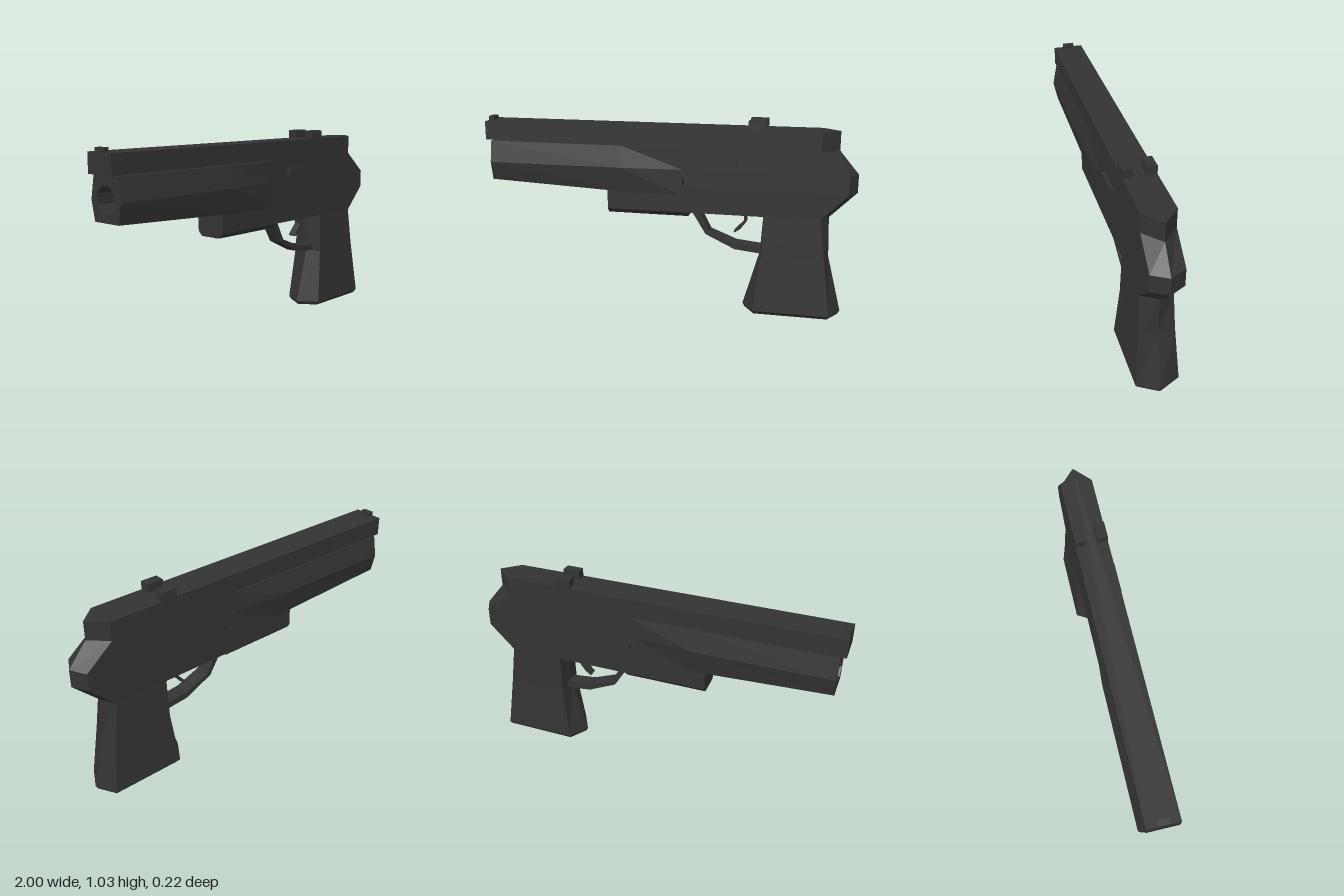
import * as THREE from 'three';

const dark = new THREE.MeshStandardMaterial({ color: 0x333333, flatShading: true });
const inner = new THREE.MeshStandardMaterial({ color: 0x333333, flatShading: true, side: THREE.DoubleSide });

// Skin over rings of [x, y, z] points, with optional end caps (convex rings).
function loft(rings, capStart = true, capEnd = true) {
  const pos = [];
  const tri = (a, b, c) => pos.push(...a, ...b, ...c);
  const n = rings[0].length;
  for (let r = 0; r < rings.length - 1; r++) {
    for (let i = 0; i < n; i++) {
      const j = (i + 1) % n;
      const [a, b, c, d] = [rings[r][i], rings[r][j], rings[r + 1][j], rings[r + 1][i]];
      tri(a, b, c);
      tri(a, c, d);
    }
  }
  const first = rings[0], last = rings[rings.length - 1];
  for (let i = 1; i < n - 1; i++) {
    if (capStart) tri(first[0], first[i + 1], first[i]);
    if (capEnd) tri(last[0], last[i], last[i + 1]);
  }
  const g = new THREE.BufferGeometry();
  g.setAttribute('position', new THREE.Float32BufferAttribute(pos, 3));
  g.computeVertexNormals();
  return g;
}

// Horizontal ring: flat front, flat sides and a ridge at the back.
const ridgeRing = (y, front, side, ridge, h) =>
  [[ridge, y, 0], [side, y, -h], [front, y, -h], [front, y, h], [side, y, h]];

// Side profile extruded symmetrically across z.
function plate(points, halfWidth) {
  const shape = new THREE.Shape(points.map(p => new THREE.Vector2(...p)));
  const g = new THREE.ExtrudeGeometry(shape, { depth: halfWidth * 2, bevelEnabled: false });
  return g.translate(0, 0, -halfWidth);
}

// Box given by its minimum and maximum corners.
function box(x0, x1, y0, y1, z0, z1) {
  const g = new THREE.BoxGeometry(x1 - x0, y1 - y0, z1 - z0);
  return g.translate((x0 + x1) / 2, (y0 + y1) / 2, (z0 + z1) / 2);
}

export function createModel() {
  const model = new THREE.Group();
  model.name = 'pistol';
  const add = (name, geometry, material = dark) => {
    const mesh = new THREE.Mesh(geometry, material);
    mesh.name = name;
    model.add(mesh);
  };
  const H = 0.083;

  // Slide with a pointed rear
  add('slide', loft([0.885, 0.985].map(y => ridgeRing(y, -1, 0.81, 0.9, H))));

  // Sights
  add('frontSight', box(-1, -0.97, 0.98, 1.007, -0.03, 0.03));
  add('rearSightLeft', box(0.44, 0.53, 0.98, 1.03, 0.03, H));
  add('rearSightRight', box(0.44, 0.53, 0.98, 1.03, -H, -0.03));

  // Six-sided barrel housing, narrowing into the receiver
  const hex = (w, bottom) => [[0.765, -w], [0.88, -H], [0.88, H], [0.765, w], [bottom, H], [bottom, -H]];
  const sections = [[-0.97, 0.105, 0.665], [-0.23, 0.105, 0.632], [0.1, H, 0.625]];
  add('barrelHousing', loft(sections.map(([x, w, b]) => hex(w, b).map(([y, z]) => [x, y, z])), false, true));

  // Muzzle face with an eight-sided bore
  const R = 0.068, boreY = 0.77, depth = 0.25;
  const face = new THREE.Shape(hex(0.105, 0.665).map(([y, z]) => new THREE.Vector2(z, y)));
  const hole = Array.from({ length: 8 }, (_, i) => {
    const a = (i + 0.5) * Math.PI / 4;
    return new THREE.Vector2(R * Math.cos(a), boreY + R * Math.sin(a));
  });
  face.holes.push(new THREE.Path(hole));
  add('muzzleFace', new THREE.ShapeGeometry(face).rotateY(-Math.PI / 2).translate(-0.97, 0, 0));
  add('bore', new THREE.CylinderGeometry(R, R, depth, 8, 1, true).rotateY(Math.PI / 8)
    .rotateZ(Math.PI / 2).translate(-0.97 + depth / 2, boreY, 0), inner);
  add('boreEnd', new THREE.CircleGeometry(R, 8, Math.PI / 8).rotateY(-Math.PI / 2)
    .translate(-0.97 + depth, boreY, 0));

  // Receiver with a ridged, angular back
  add('receiver', loft([
    [0.535, 0.12, 0.82, 0.865], [0.67, 0.12, 0.955, 1],
    [0.765, 0.09, 0.955, 1], [0.885, 0.09, 0.81, 0.9],
  ].map(([y, front, side, ridge]) => ridgeRing(y, front, side, ridge, H))));

  // Block under the barrel, chamfered along the bottom
  add('underBlock', loft([[0.51, 0.06, 0.01], [0.535, H, 0], [0.68, H, 0]].map(([y, h, inset]) =>
    [[0.14 - inset, y, h], [0.14 - inset, y, -h], [-0.31, y, -h], [-0.31, y, h]])));

  // Flared grip: ridge at front and back, chamfered base
  add('grip', loft([
    [0, 0.435, 0.495, 0.88, 0.935, 0.095],
    [0.02, 0.425, 0.49, 0.89, 0.945, 0.11],
    [0.32, 0.51, 0.525, 0.85, 0.87, 0.09],
    [0.54, 0.525, 0.53, 0.82, 0.862, H],
  ].map(([y, tip, front, back, ridge, h]) =>
    [[ridge, y, 0], [back, y, -h], [front, y, -h], [tip, y, 0], [front, y, h], [back, y, h]])));

  // Trigger guard and trigger
  add('triggerGuard', plate([
    [0.14, 0.54], [0.22, 0.41], [0.38, 0.335], [0.53, 0.32],
    [0.53, 0.355], [0.38, 0.37], [0.24, 0.425], [0.18, 0.54],
  ], 0.04));
  add('trigger', plate([
    [0.42, 0.54], [0.425, 0.49], [0.37, 0.43], [0.375, 0.423], [0.405, 0.445], [0.437, 0.487], [0.437, 0.54],
  ], 0.022));

  // Catch on the front side
  add('sideCatch', box(0.22, 0.385, 0.8, 0.835, 0.07, 0.103));

  return model;
}
